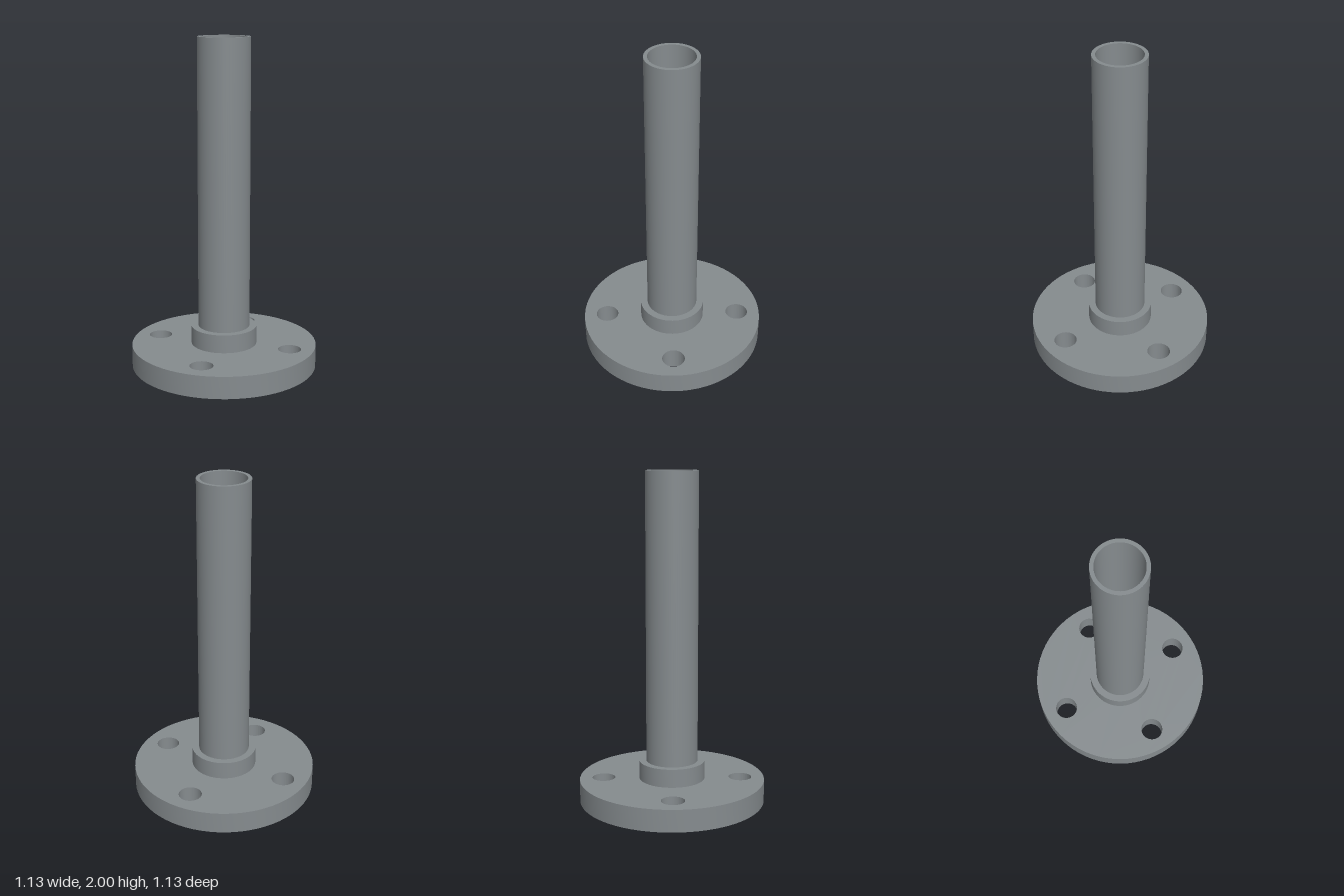
import * as THREE from 'three';
import { toCreasedNormals } from 'three/addons/utils/BufferGeometryUtils.js';

const BORE = 0.135;

export function createModel() {
  const group = new THREE.Group();
  group.name = 'flangedPipe';
  const steel = new THREE.MeshStandardMaterial({ color: 0x858b8e });
  steel.name = 'grey steel';

  const circle = (x, y, r) => new THREE.Path().absarc(x, y, r, 0, Math.PI * 2, true);

  // Upright ring between two heights, bored through the middle, with optional extra holes
  function addRing(name, radius, bottom, top, holes = []) {
    const shape = new THREE.Shape();
    shape.absarc(0, 0, radius, 0, Math.PI * 2, false);
    shape.holes.push(circle(0, 0, BORE), ...holes);
    const geometry = new THREE.ExtrudeGeometry(shape, {
      depth: top - bottom, bevelEnabled: false, curveSegments: 36,
    });
    geometry.rotateX(-Math.PI / 2);
    geometry.translate(0, bottom, 0);
    const mesh = new THREE.Mesh(toCreasedNormals(geometry, Math.PI / 6), steel);
    mesh.name = name;
    group.add(mesh);
  }

  // Four bolt holes on the diagonals of the base flange
  const boltHoles = [];
  for (const x of [-1, 1]) {
    for (const z of [-1, 1]) boltHoles.push(circle(x * 0.296, z * 0.296, 0.07));
  }

  addRing('flange', 0.565, 0, 0.135, boltHoles);
  addRing('collar', 0.2, 0.135, 0.247);
  addRing('pipe', 0.157, 0.247, 2);
  return group;
}
